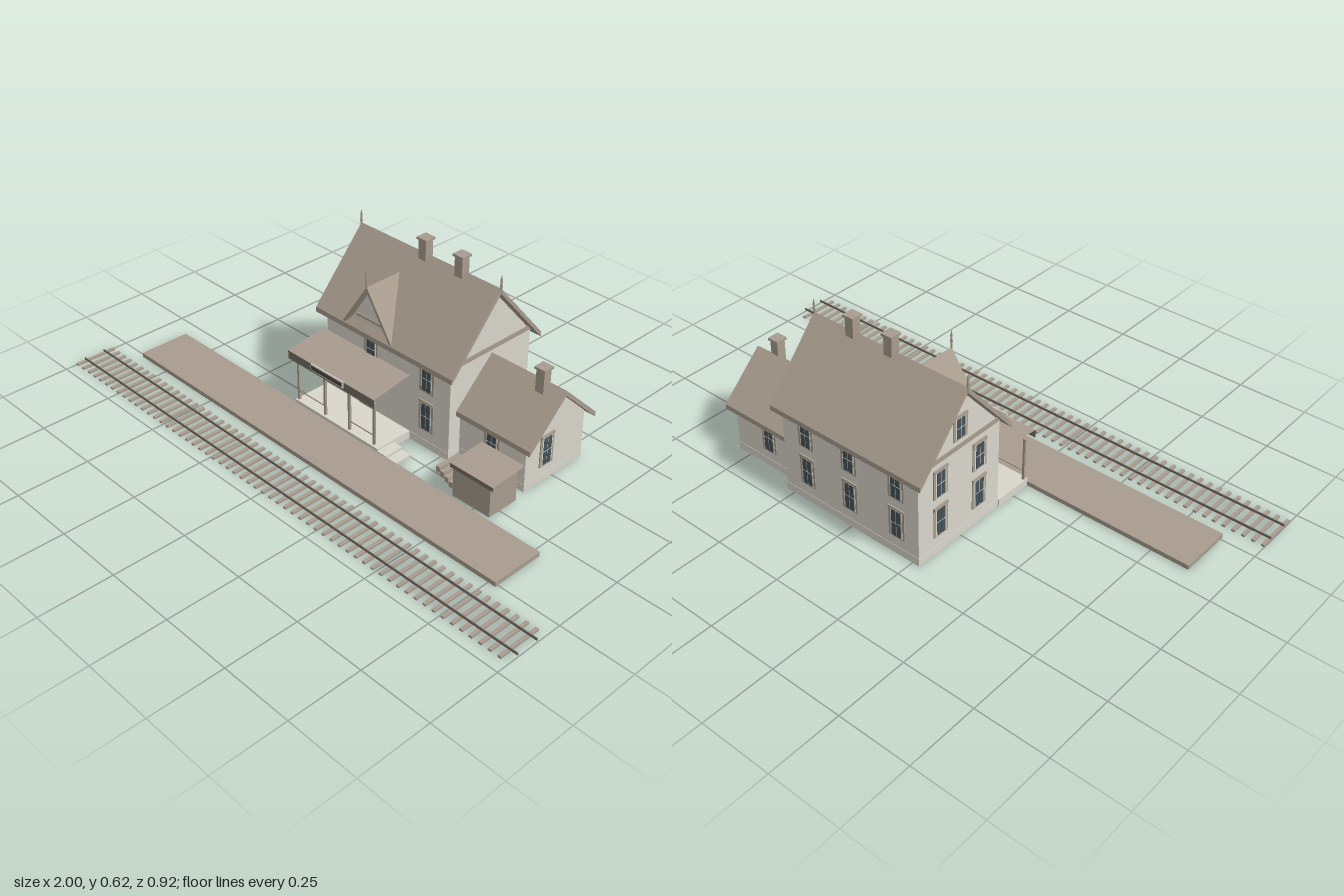
import * as THREE from 'three';

const mat = (name, color, side = THREE.FrontSide) => {
  const m = new THREE.MeshStandardMaterial({ color, side });
  m.name = name;
  return m;
};

export function createModel() {
  const root = new THREE.Group();
  root.name = 'railwayStation';
  const wall = mat('paleSiding', 0xd9d6cb);
  const brown = mat('brownTimber', 0xa89c8e, THREE.DoubleSide);
  const dark = mat('darkTimber', 0x756c62, THREE.DoubleSide);
  const iron = mat('darkIron', 0x4c4640);
  const glass = mat('glass', 0x475359);

  const add = (name, geo, m, parent = root) => {
    const mesh = new THREE.Mesh(geo, m);
    mesh.name = name;
    parent.add(mesh);
    return mesh;
  };
  // Box given by its limits on each axis
  const box = (name, m, x0, x1, y0, y1, z0, z1, parent = root) => {
    const b = add(name, new THREE.BoxGeometry(x1 - x0, y1 - y0, z1 - z0), m, parent);
    b.position.set((x0 + x1) / 2, (y0 + y1) / 2, (z0 + z1) / 2);
    return b;
  };
  // Symmetric outline pushed along z (or x when turned)
  const prism = (name, m, pts, length, x, z, alongX) => {
    const shape = new THREE.Shape(pts.map(([u, v]) => new THREE.Vector2(u, v)));
    const geo = new THREE.ExtrudeGeometry(shape, { depth: length, bevelEnabled: false });
    geo.translate(0, 0, -length / 2);
    if (alongX) geo.rotateY(Math.PI / 2);
    const p = add(name, geo, m);
    p.position.set(x, 0, z);
    return p;
  };
  const house = (half, eave, peak) => [[-half, 0], [half, 0], [half, eave], [0, peak], [-half, eave]];
  const chevron = (half, eave, peak, t) =>
    [[-half, eave], [-half, eave - t], [0, peak - t], [half, eave - t], [half, eave], [0, peak]];
  // Flat four-cornered sheet
  const sheet = (name, m, corners) => {
    const geo = new THREE.BufferGeometry();
    geo.setAttribute('position', new THREE.Float32BufferAttribute(corners.flat(), 3));
    geo.setIndex([0, 1, 2, 0, 2, 3]);
    geo.computeVertexNormals();
    return add(name, geo, m);
  };

  // Main house and side wing
  prism('mainWalls', wall, house(0.182, 0.33, 0.538), 0.555, 0.0025, -0.2535, true);
  prism('mainRoof', brown, chevron(0.206, 0.324, 0.56, 0.018), 0.61, 0.001, -0.2535, true);
  prism('wingWalls', wall, house(0.136, 0.175, 0.304), 0.28, 0.41, -0.257, true);
  prism('wingRoof', brown, chevron(0.155, 0.174, 0.322, 0.018), 0.299, 0.429, -0.257, true);
  box('mainFoundation', wall, -0.276, 0.281, 0, 0.028, -0.4365, -0.0705);
  box('wingFoundation', wall, 0.28, 0.551, 0, 0.028, -0.394, -0.12);

  // Gable bands
  for (const x of [-0.277, 0.278])
    box('gableBand', brown, x, x + 0.004, 0.333, 0.35, -0.435, -0.072);

  // Front cross gable
  const cx = -0.067;
  prism('crossGableRoof', brown, chevron(0.112, 0.325, 0.492, 0.018), 0.15, cx, -0.125, false);
  prism('crossGableWall', wall, [[-0.1, 0.32], [0.1, 0.32], [0, 0.474]], 0.1, cx, -0.117, false);
  box('crossGableTie', brown, cx - 0.062, cx + 0.062, 0.362, 0.37, -0.067, -0.064);

  // Finials
  const finialProfile = [[0, 0], [0.003, 0], [0.003, 0.02], [0.005, 0.026], [0.003, 0.032], [0.004, 0.045], [0, 0.066]]
    .map(([r, y]) => new THREE.Vector2(r, y));
  for (const [x, y, z] of [[-0.304, 0.542, -0.2535], [0.305, 0.542, -0.2535], [cx, 0.488, -0.05]])
    add('finial', new THREE.LatheGeometry(finialProfile, 6), brown).position.set(x, y, z);

  // Chimneys
  for (const [x, z, y0, y1] of [[-0.011, -0.2525, 0.5, 0.617], [0.144, -0.2525, 0.5, 0.617], [0.499, -0.241, 0.26, 0.379]]) {
    box('chimney', brown, x - 0.016, x + 0.016, y0, y1 - 0.008, z - 0.016, z + 0.016);
    box('chimneyCap', brown, x - 0.021, x + 0.021, y1 - 0.008, y1, z - 0.021, z + 0.021);
  }

  // Windows: broad frame, pale sash, paired tall panes with a cross rail
  const addWindow = (x, y, z, turn, h) => {
    const g = new THREE.Group();
    g.name = 'window';
    const w = 0.062;
    box('frame', brown, -w / 2, w / 2, -h / 2, h / 2, -0.004, 0.002, g);
    box('sash', wall, -w / 2 + 0.008, w / 2 - 0.008, -h / 2 + 0.004, h / 2 - 0.008, 0.001, 0.003, g);
    for (const s of [-1, 1])
      box('pane', glass, s * 0.0098 - 0.0085, s * 0.0098 + 0.0085, -h / 2 + 0.006, h / 2 - 0.009, 0.002, 0.004, g);
    box('rail', wall, -0.019, 0.019, -0.001, 0.001, 0.003, 0.0045, g);
    box('lintel', brown, -w / 2, w / 2, h / 2 - 0.005, h / 2 + 0.002, -0.004, 0.005, g);
    g.position.set(x, y, z);
    g.rotation.y = turn;
    root.add(g);
  };
  const floors = [[0.12, 0.11], [0.26, 0.102]];
  for (const [y, h] of floors) {
    addWindow(0.182, y, -0.0705, 0, h);
    for (const x of [-0.19, 0, 0.18]) addWindow(x, y, -0.4365, Math.PI, h);
    for (const z of [-0.34, -0.165]) addWindow(-0.276, y, z, -Math.PI / 2, h);
  }
  addWindow(-0.222, 0.12, -0.0705, 0, 0.11);
  addWindow(cx, 0.26, -0.0705, 0, 0.102);
  addWindow(-0.276, 0.41, -0.2535, -Math.PI / 2, 0.085);
  addWindow(0.415, 0.117, -0.12, 0, 0.112);
  addWindow(0.4, 0.117, -0.394, Math.PI, 0.112);
  addWindow(0.551, 0.114, -0.217, Math.PI / 2, 0.113);

  // Front door
  box('frontDoor', brown, -0.12, -0.058, 0.03, 0.162, -0.074, -0.067);

  // Porch: deck, steps, posts, rails and thin roof
  box('porchDeck', wall, -0.28, 0.11, 0, 0.028, -0.0705, 0.073);
  box('porchStepUpper', wall, 0.11, 0.148, 0, 0.02, 0, 0.073);
  box('porchStepLower', wall, 0.148, 0.186, 0, 0.01, 0, 0.073);
  for (const x of [-0.273, -0.145, -0.03, 0.084])
    box('porchPost', brown, x - 0.004, x + 0.004, 0.028, 0.185, 0.057, 0.065);
  for (const [x0, x1] of [[-0.273, -0.145], [-0.03, 0.084]])
    box('porchRail', brown, x0, x1, 0.059, 0.062, 0.0595, 0.0625);
  sheet('porchRoof', brown, [[-0.295, 0.217, 0.085], [0.107, 0.217, 0.085], [0.107, 0.24, -0.07], [-0.295, 0.24, -0.07]]);
  sheet('porchFascia', dark, [[-0.295, 0.187, 0.085], [0.107, 0.187, 0.085], [0.107, 0.217, 0.085], [-0.295, 0.217, 0.085]]);
  box('signBoard', wall, -0.18, -0.03, 0.197, 0.221, 0.0855, 0.09);
  box('signPanel', iron, -0.175, -0.035, 0.202, 0.216, 0.089, 0.092);

  // Storage shed with thin lid
  box('shed', brown, 0.41, 0.56, 0, 0.107, -0.074, 0.046);
  sheet('shedRoof', brown, [[0.402, 0.122, 0.053], [0.575, 0.122, 0.053], [0.575, 0.13, -0.088], [0.402, 0.13, -0.088]]);
  sheet('shedFascia', dark, [[0.402, 0.107, 0.053], [0.575, 0.107, 0.053], [0.575, 0.122, 0.053], [0.402, 0.122, 0.053]]);

  // Side steps, falling away from the house
  for (let i = 0; i < 4; i++) {
    const x = 0.32 + i * 0.018, y = 0.052 - i * 0.01;
    box('sideStep', brown, x, x + 0.016, y - 0.02, y, -0.074, 0.025);
  }

  // Platform and track
  box('platform', brown, -0.882, 0.777, 0, 0.016, 0.071, 0.26);
  const ties = 58;
  for (let i = 0; i < ties; i++) {
    const x = -0.994 + i * 1.962 / (ties - 1);
    box('tie', brown, x - 0.006, x + 0.006, 0, 0.007, 0.305, 0.458);
  }
  for (const z of [0.343, 0.421]) box('rail', dark, -1, 1, 0.007, 0.015, z - 0.0015, z + 0.0015);

  return root;
}
